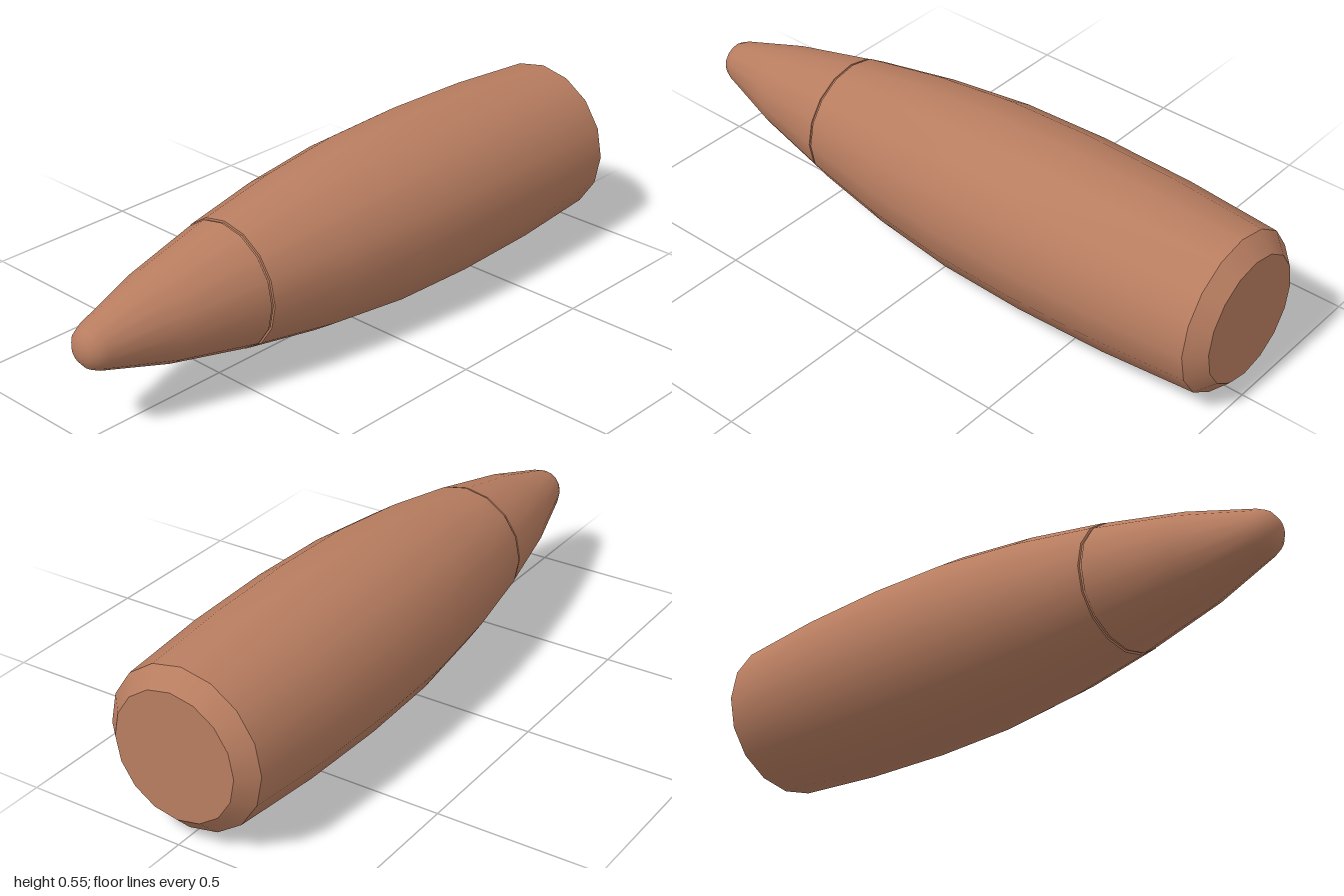
import * as THREE from 'three';

const SIDES = 16;
const RADIUS = 0.275;

export function createModel() {
  const model = new THREE.Group();
  model.name = 'bullet';
  const copper = new THREE.MeshStandardMaterial({ color: 0xb87d60 });
  copper.name = 'copper';

  // Turned part: [radius, z] pairs listed from back to front
  function turned(name, profile) {
    const points = profile.map(([r, z]) => new THREE.Vector2(r, z));
    const geometry = new THREE.LatheGeometry(points, SIDES);
    geometry.rotateX(Math.PI / 2);
    const mesh = new THREE.Mesh(geometry, copper);
    mesh.name = name;
    mesh.position.y = RADIUS;
    model.add(mesh);
  }

  // Flat base and its bevelled rim
  turned('baseCap', [[0, -1], [0.195, -1]]);
  turned('baseBevel', [[0.195, -1], [0.247, -0.95]]);

  // Barrel-shaped body
  turned('body', [
    [0.247, -0.95], [0.268, -0.65], [RADIUS, -0.35],
    [0.268, -0.07], [0.24, 0.2], [0.196, 0.463],
  ]);

  // Narrow seam between body and nose
  turned('seamBack', [[0.196, 0.463], [0.19, 0.464]]);
  turned('seamFloor', [[0.19, 0.464], [0.19, 0.471]]);
  turned('seamFront', [[0.19, 0.471], [0.193, 0.472]]);

  // Tapered nose with a rounded tip
  turned('nose', [
    [0.193, 0.472], [0.137, 0.73], [0.07, 0.95],
    [0.057, 0.977], [0.036, 0.994], [0.014, 1], [0, 1],
  ]);

  return model;
}
